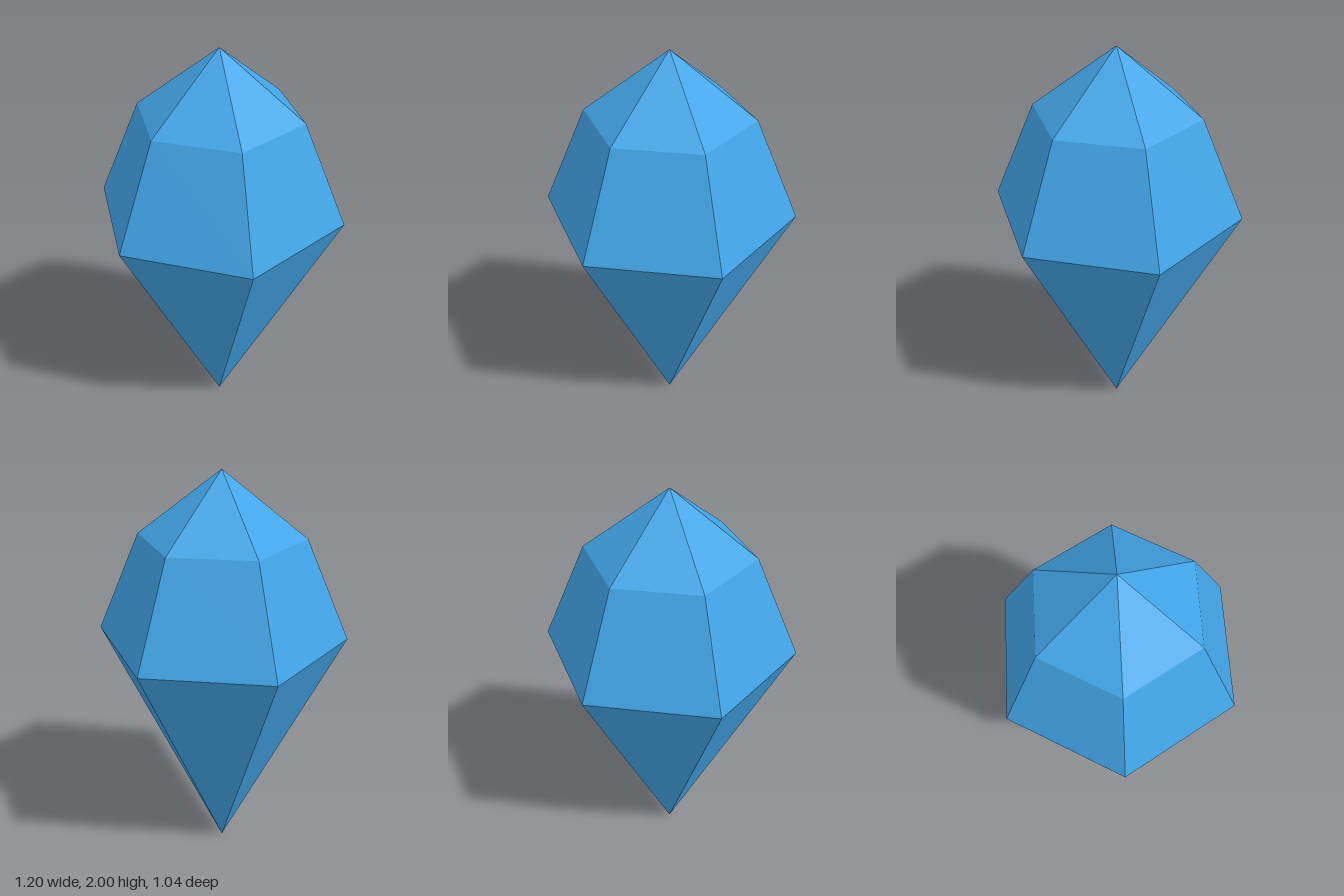
import * as THREE from 'three';

const SIDES = 6;

// Six-sided faceted shell from a bottom-to-top profile, with corners on the x axis
function facets(name, profile, material) {
  const points = profile.map(([r, y]) => new THREE.Vector2(r, y));
  const geometry = new THREE.LatheGeometry(points, SIDES, Math.PI / 2).toNonIndexed();
  geometry.computeVertexNormals();
  const mesh = new THREE.Mesh(geometry, material);
  mesh.name = name;
  return mesh;
}

export function createModel() {
  const gemBlue = new THREE.MeshStandardMaterial({ color: 0x44aaee, flatShading: true });
  gemBlue.name = 'gem blue';

  const group = new THREE.Group();
  group.name = 'gem';
  group.add(
    // Long lower point
    facets('lowerPoint', [[0, 0], [0.6, 1.22]], gemBlue),
    // Steep shoulder facets
    facets('shoulder', [[0.6, 1.22], [0.39, 1.7]], gemBlue),
    // Shallow top cap
    facets('crown', [[0.39, 1.7], [0, 2]], gemBlue),
  );
  return group;
}
